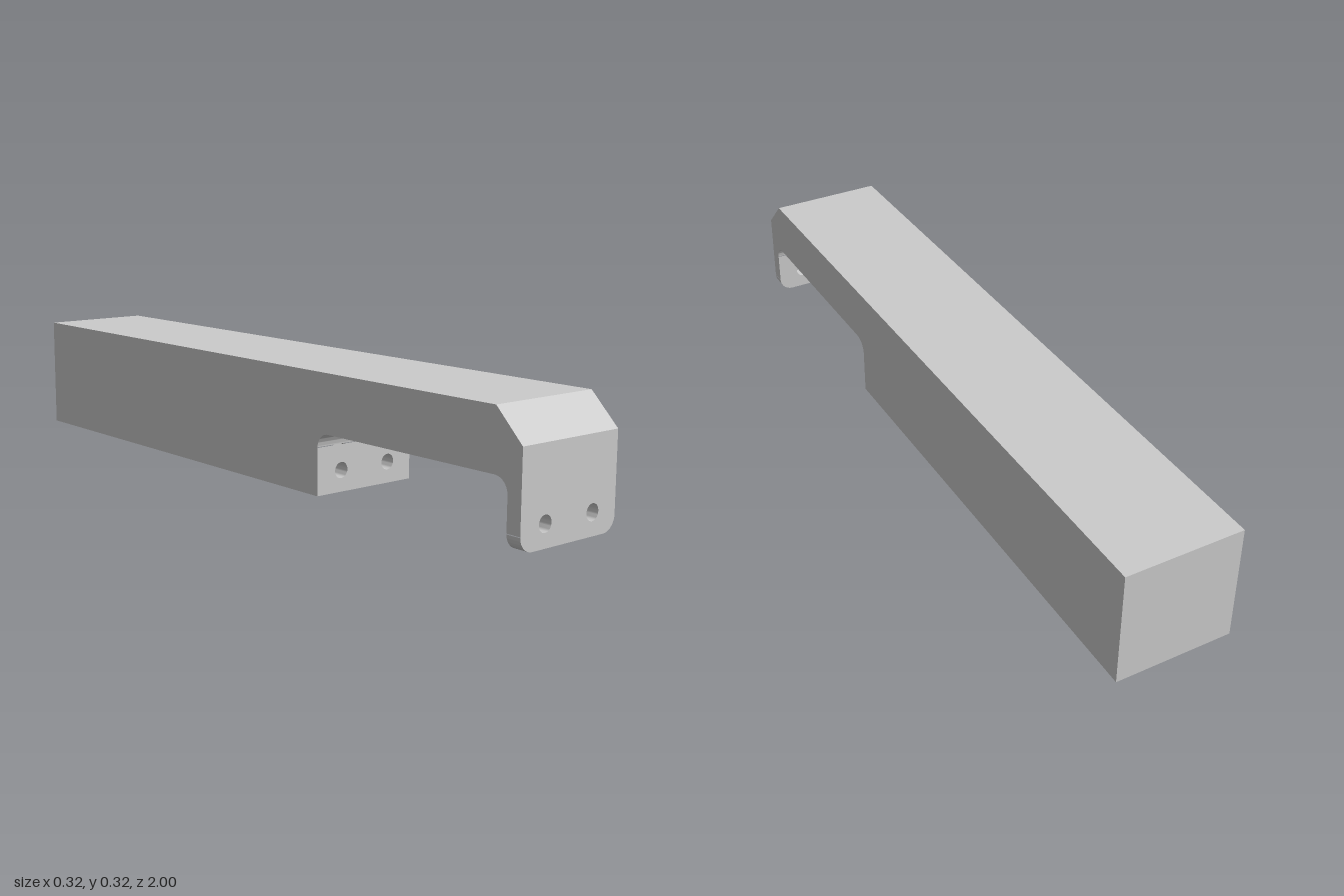
import * as THREE from 'three';
import { toCreasedNormals } from 'three/addons/utils/BufferGeometryUtils.js';

const W = 0.16;                          // half width
const TOP = 0.32, FRONT_TOP = 0.24;      // body height, lower edge of the chamfer
const STEP = 0.32, PLATE = 0.96;         // z of the two notch walls
const ROOF = 0.165, R = 0.04;            // notch ceiling, corner radius
const HOLE_X = 0.08, HOLE_Y = 0.057, HOLE_R = 0.021, HOLE_DEPTH = 0.2;
const SEG = 16;

const near = (a, b) => Math.abs(a - b) < 1e-4;

// Removes triangles whose three corners all pass the test.
function dropFaces(geometry, test) {
  const src = geometry.index ? geometry.toNonIndexed() : geometry;
  const p = src.attributes.position, kept = [], v = new THREE.Vector3();
  for (let i = 0; i < p.count; i += 3) {
    const tri = [0, 1, 2].map(k => v.clone().fromBufferAttribute(p, i + k));
    if (!tests(tri, test)) tri.forEach(c => kept.push(c.x, c.y, c.z));
  }
  const out = new THREE.BufferGeometry();
  out.setAttribute('position', new THREE.Float32BufferAttribute(kept, 3));
  return toCreasedNormals(out, Math.PI / 6);
}
const tests = (tri, list) => list.some(t => tri.every(t));

// Upright face with two screw holes and optional rounded bottom corners.
function drilledFace(height, radius) {
  const s = new THREE.Shape();
  s.moveTo(-W, height);
  if (radius) {
    s.lineTo(-W, radius);
    s.absarc(-W + radius, radius, radius, Math.PI, Math.PI * 1.5, false);
    s.absarc(W - radius, radius, radius, Math.PI * 1.5, Math.PI * 2, false);
  } else {
    s.lineTo(-W, 0);
    s.lineTo(W, 0);
  }
  s.lineTo(W, height);
  s.closePath();
  for (const x of [-HOLE_X, HOLE_X]) {
    s.holes.push(new THREE.Path().absarc(x, HOLE_Y, HOLE_R, 0, Math.PI * 2, true));
  }
  return s;
}

const extrude = (shape, depth) =>
  new THREE.ExtrudeGeometry(shape, { depth, bevelEnabled: false, curveSegments: SEG });

export function createModel() {
  const group = new THREE.Group();
  const material = new THREE.MeshStandardMaterial({ color: 0xcccccc });
  const add = (name, geometry) => {
    const mesh = new THREE.Mesh(geometry, material);
    mesh.name = name;
    group.add(mesh);
    return mesh;
  };

  // Long body: side profile (z, y) swept across the width; drilled walls are left open
  const profile = new THREE.Shape();
  profile.moveTo(-1, 0);
  profile.lineTo(STEP, 0);
  profile.lineTo(STEP, ROOF - R);
  profile.absarc(STEP + R, ROOF - R, R, Math.PI, Math.PI / 2, true);
  profile.absarc(PLATE - R, ROOF - R, R, Math.PI / 2, 0, true);
  profile.lineTo(PLATE, R);
  profile.lineTo(1, R);
  profile.lineTo(1, FRONT_TOP);
  profile.lineTo(0.92, TOP);
  profile.lineTo(-1, TOP);
  profile.closePath();
  const body = extrude(profile, 2 * W).rotateY(-Math.PI / 2).translate(W, 0, 0);
  add('body', dropFaces(body, [
    c => near(c.z, 1),
    c => near(c.z, PLATE),
    c => near(c.z, STEP),
    c => near(c.y, R) && c.z > PLATE - 0.01,
  ]));

  // Mounting plate: front face, rounded lower rim and through holes
  const plate = extrude(drilledFace(FRONT_TOP, R), 1 - PLATE).translate(0, 0, PLATE);
  add('mountingPlate', dropFaces(plate, [
    c => near(c.z, PLATE),
    c => near(c.x, W),
    c => near(c.x, -W),
    c => near(c.y, FRONT_TOP),
  ]));

  // Back of the plate, up to the start of the fillet
  add('mountingPlateBack', new THREE.ShapeGeometry(drilledFace(ROOF - R, R), SEG)
    .rotateY(Math.PI).translate(0, 0, PLATE));

  // Wall of the step with blind screw holes
  const wall = extrude(drilledFace(ROOF - R, 0), HOLE_DEPTH).translate(0, 0, STEP - HOLE_DEPTH);
  add('stepWall', dropFaces(wall, [
    c => near(c.z, STEP - HOLE_DEPTH),
    c => near(c.x, W),
    c => near(c.x, -W),
    c => near(c.y, 0),
    c => near(c.y, ROOF - R) && c.z < STEP + 0.01,
  ]));
  for (const side of [-1, 1]) {
    add(side > 0 ? 'leftHoleEnd' : 'rightHoleEnd', new THREE.CircleGeometry(HOLE_R, SEG * 2))
      .position.set(side * HOLE_X, HOLE_Y, STEP - HOLE_DEPTH);
  }

  return group;
}
